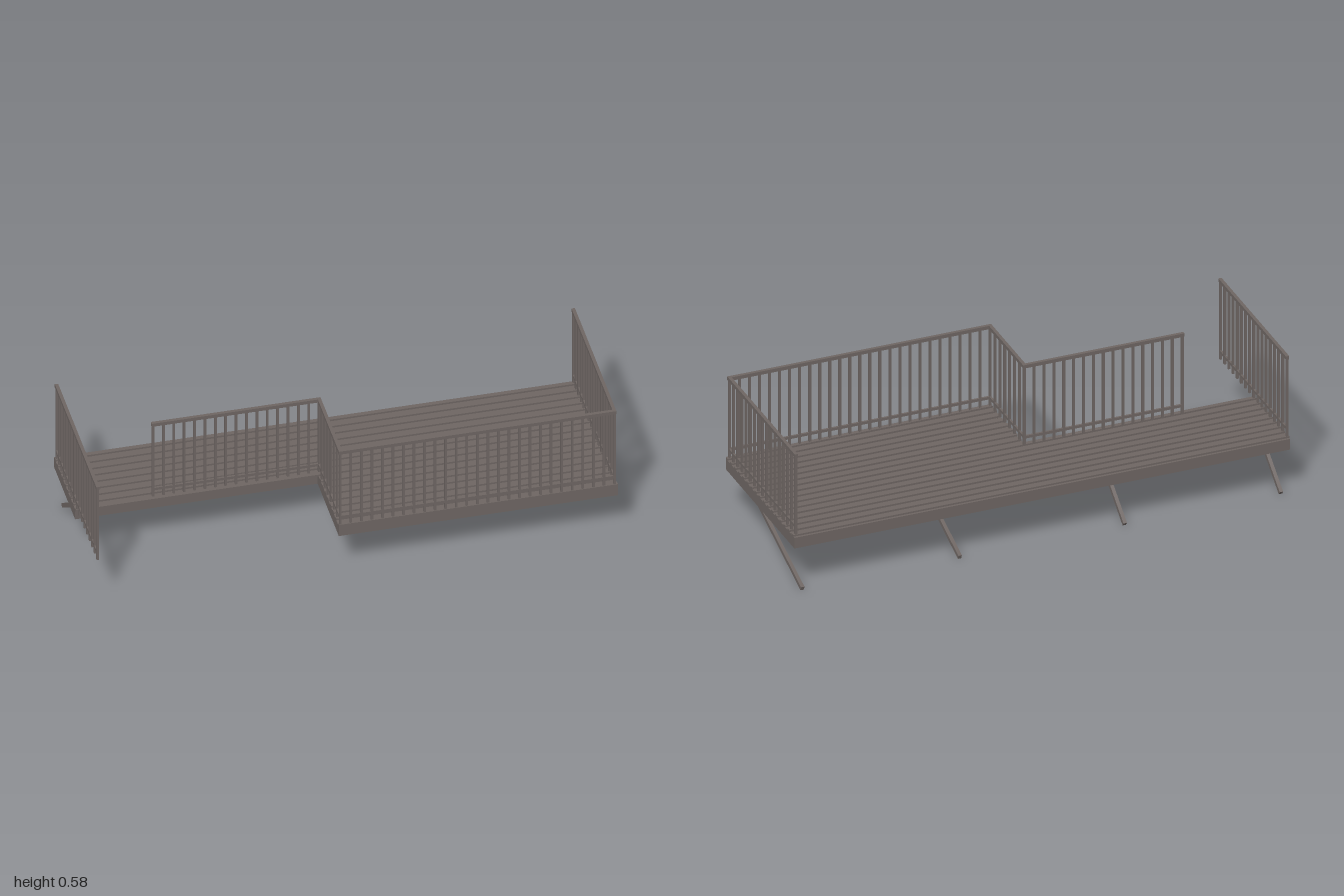
import * as THREE from 'three';

export function createModel() {
  const model = new THREE.Group();
  model.name = 'raisedDeck';
  const timber = new THREE.MeshStandardMaterial({ color: 0x6d6562 });
  timber.name = 'weathered grey brown timber';

  const add = (name, geometry, parent = model) => {
    const mesh = new THREE.Mesh(geometry, timber);
    mesh.name = name;
    parent.add(mesh);
    return mesh;
  };
  const box = (name, w, h, d, x, y, z, parent) => {
    const mesh = add(name, new THREE.BoxGeometry(w, h, d), parent);
    mesh.position.set(x, y, z);
    return mesh;
  };

  // L-shaped platform outline, inset by i (shape y is -z)
  const outline = (i) => [
    [-1 + i, 0.333 - i], [-1 + i, i], [-0.07 + i, i],
    [-0.07 + i, -0.333 + i], [1 - i, -0.333 + i], [1 - i, 0.333 - i],
  ].map(([x, y]) => new THREE.Vector2(x, y));
  const slab = (name, shape, y0, y1) => {
    const g = new THREE.ExtrudeGeometry(shape, { depth: y1 - y0, bevelEnabled: false });
    g.rotateX(-Math.PI / 2);
    g.translate(0, y0, 0);
    add(name, g);
  };
  const rim = new THREE.Shape(outline(0));
  rim.holes.push(new THREE.Path(outline(0.016)));
  slab('rimBeam', rim, 0.19, 0.235);
  slab('deckPlate', new THREE.Shape(outline(0.016)), 0.213, 0.2345);

  // Raised slats running along the deck
  const slats = new THREE.Group();
  slats.name = 'deckSlats';
  model.add(slats);
  for (let k = -8; k <= 8; k++) {
    const z = 0.005 + k * 0.04;
    const x0 = z > 0.006 ? -0.07 : -1;
    box('slat', 1 - x0, 0.008, 0.017, (1 + x0) / 2, 0.238, z, slats);
  }

  // Railing between two plan points, with n gaps between balusters
  const railing = (name, [x0, z0], [x1, z1], n) => {
    const g = new THREE.Group();
    g.name = name;
    model.add(g);
    const length = Math.hypot(x1 - x0, z1 - z0);
    g.position.set((x0 + x1) / 2, 0, (z0 + z1) / 2);
    g.rotation.y = -Math.atan2(z1 - z0, x1 - x0);
    box('handrail', length + 0.013, 0.014, 0.013, 0, 0.576, 0, g);
    box('bottomRail', length + 0.008, 0.011, 0.008, 0, 0.275, 0, g);
    for (let i = 0; i <= n; i++) {
      box('baluster', 0.009, 0.33, 0.009, -length / 2 + (length * i) / n, 0.407, 0, g);
    }
  };
  railing('leftRailing', [0.988, -0.317], [0.988, 0.326], 16);
  railing('frontRailing', [-0.063, 0.326], [0.988, 0.326], 26);
  railing('innerRailing', [-0.063, -0.006], [-0.063, 0.326], 7);
  railing('middleRailing', [-0.7, -0.006], [-0.063, -0.006], 16);
  railing('rightRailing', [-0.993, -0.317], [-0.993, 0.326], 16);

  // Diagonal braces rising from the back foot to the underside
  const brace = (x, slope) => {
    const dy = 0.207, dz = dy / slope;
    const m = box('brace', 0.014, 0.016, Math.hypot(dy, dz), x, 0.01 + dy / 2, -0.327 + dz / 2);
    m.rotation.x = -Math.atan2(dy, dz);
  };
  [-0.965, -0.335].forEach((x) => brace(x, 0.735));
  [0.33, 0.965].forEach((x) => brace(x, 0.355));

  return model;
}
